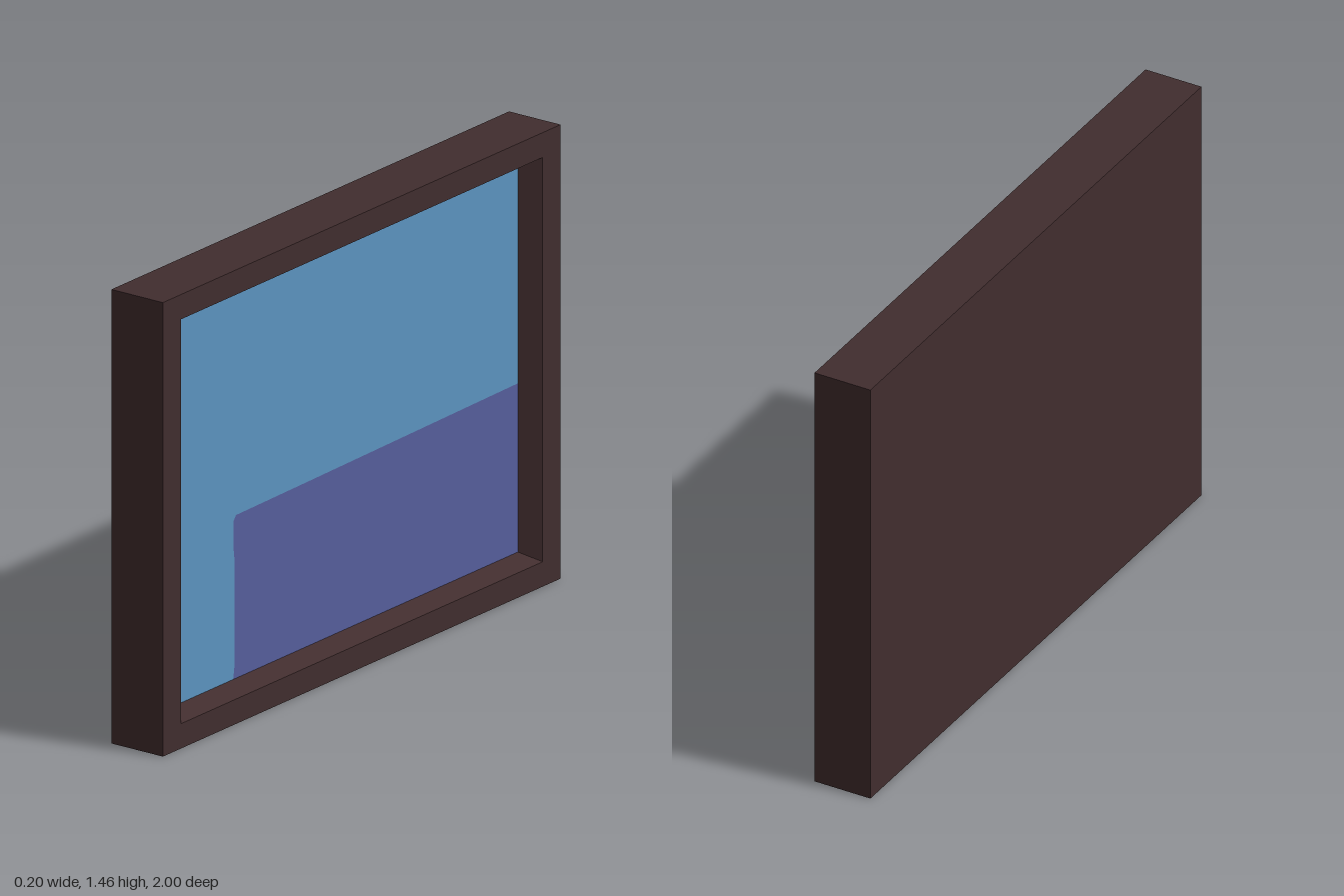
import * as THREE from 'three';

const wood = new THREE.MeshStandardMaterial({ color: 0x412d2e });
wood.name = 'dark wood';
const blue = new THREE.MeshStandardMaterial({ color: 0x5c94c0 });
blue.name = 'sky blue';
const violet = new THREE.MeshStandardMaterial({ color: 0x565e9c });
violet.name = 'dusky violet';

const PANEL_DEPTH = 0.037; // recessed canvas plane

// Joins rectangular rings [halfWidth, bottom, top, depth] into flat-sided strips.
function ringLoft(rings) {
  const corners = ([w, y0, y1, d]) => [[-w, y0, d], [w, y0, d], [w, y1, d], [-w, y1, d]];
  const positions = [];
  for (let r = 0; r < rings.length - 1; r++) {
    const a = corners(rings[r]), b = corners(rings[r + 1]);
    for (let i = 0; i < 4; i++) {
      const j = (i + 1) % 4;
      positions.push(...a[i], ...a[j], ...b[j], ...a[i], ...b[j], ...b[i]);
    }
  }
  const geometry = new THREE.BufferGeometry();
  geometry.setAttribute('position', new THREE.Float32BufferAttribute(positions, 3));
  geometry.computeVertexNormals();
  return geometry;
}

// Flat painted area on the canvas.
function paintedArea(points) {
  const shape = new THREE.Shape(points.map(([u, y]) => new THREE.Vector2(u, y)));
  return new THREE.ShapeGeometry(shape).translate(0, 0, PANEL_DEPTH);
}

export function createModel() {
  const group = new THREE.Group();
  group.name = 'framedPicture';
  const add = (name, geometry, material) => {
    const mesh = new THREE.Mesh(geometry.rotateY(Math.PI / 2), material); // face +x
    mesh.name = name;
    group.add(mesh);
  };

  // Closed back, outer sides, front border and bevelled inner lip
  add('frame', ringLoft([
    [0, 0.732, 0.732, -0.098],
    [1, 0, 1.464, -0.098],
    [1, 0, 1.464, 0.098],
    [0.91, 0.08, 1.384, 0.098],
    [0.866, 0.111, 1.353, PANEL_DEPTH],
  ]), wood);

  // Shared border between the two painted areas, with a softened corner
  const border = [
    [-0.566, 0.111], [-0.56, 0.15], [-0.56, 0.5], [-0.565, 0.54],
    [-0.565, 0.62], [-0.552, 0.637], [-0.2, 0.641], [0.26, 0.647], [0.866, 0.655],
  ];
  add('skyArea', paintedArea([
    [-0.866, 0.111], ...border, [0.866, 1.353], [-0.866, 1.353],
  ]), blue);
  add('violetArea', paintedArea([...border, [0.866, 0.111]]), violet);

  return group;
}
